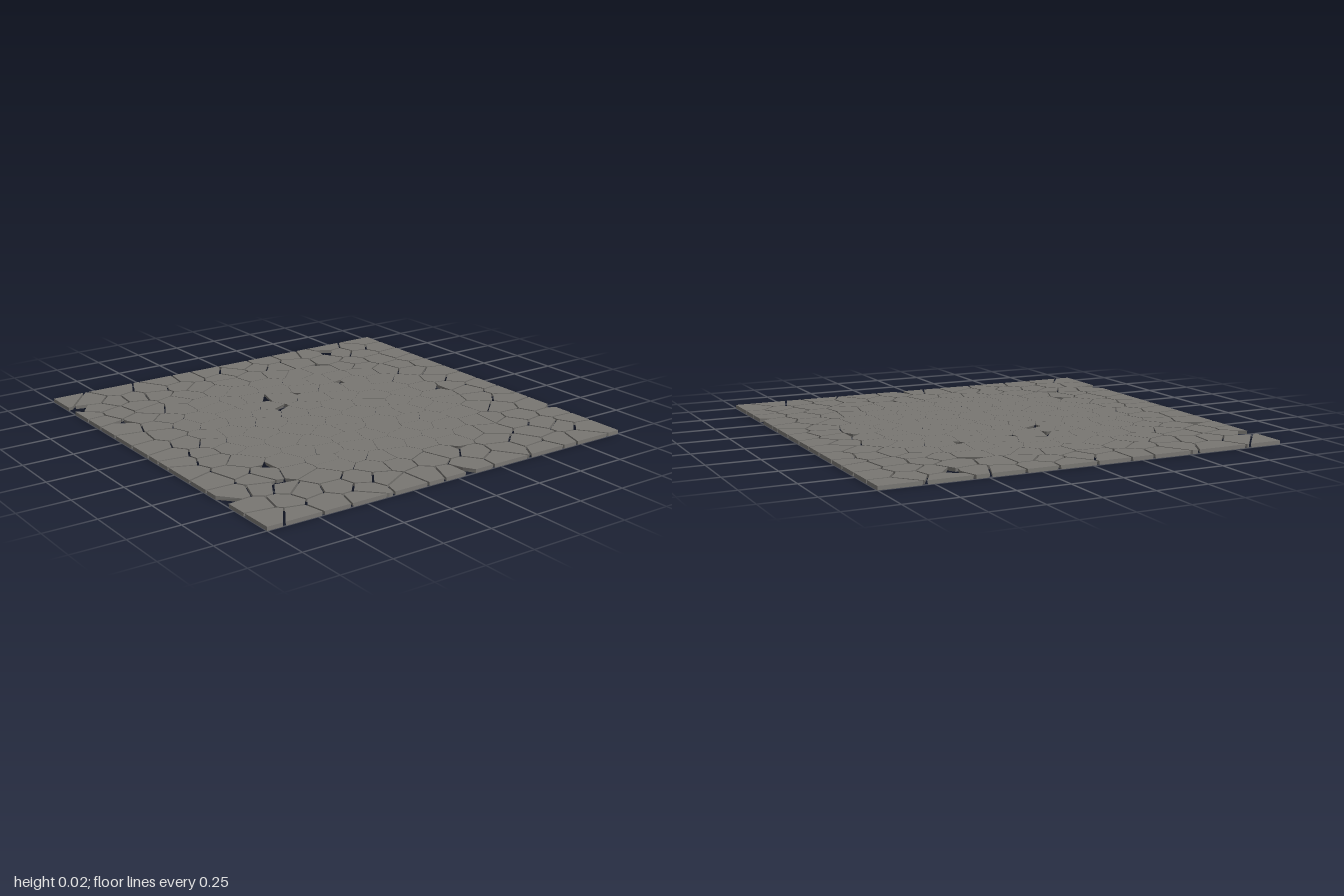
import * as THREE from 'three';

const COLS = 14, ROWS = 15;
const HEIGHT = 0.018;

// Missing chips between stones: x, z, radius
const CHIPS = [
  [-0.89, -0.62, 0.035], [-0.35, -0.06, 0.012], [-0.36, 0.12, 0.018], [-0.2, 0.15, 0.018],
  [-0.01, -0.73, 0.018], [0.96, -0.06, 0.015], [0.74, -0.22, 0.015], [0.43, 0.63, 0.02],
  [0.62, 0.7, 0.018], [0.96, 0.8, 0.025], [-0.46, 0.87, 0.014], [-0.78, 0.94, 0.014],
  [0.55, -0.98, 0.016], [0.66, 0.97, 0.016], [-0.7, -0.44, 0.012], [-0.38, -0.36, 0.012],
];

function seeded(seed) {
  return () => (seed = (seed * 16807) % 2147483647) / 2147483647;
}

// Keeps the part of a polygon where nx*x + nz*z <= d
function clip(poly, nx, nz, d) {
  const out = [];
  poly.forEach((a, i) => {
    const b = poly[(i + 1) % poly.length];
    const da = nx * a[0] + nz * a[1] - d;
    const db = nx * b[0] + nz * b[1] - d;
    if (da <= 0) out.push(a);
    if (da * db < 0) {
      const t = da / (da - db);
      out.push([a[0] + (b[0] - a[0]) * t, a[1] + (b[1] - a[1]) * t]);
    }
  });
  return out;
}

// Jittered, staggered stone centres, pushed away from the chips
function makeSites() {
  const rnd = seeded(4711), sites = [];
  for (let r = 0; r < ROWS; r++) {
    for (let c = 0; c < COLS; c++) {
      const s = [
        -1 + (2 / COLS) * (c + 0.5 + (r % 2 ? 0.23 : -0.23) + (rnd() - 0.5) * 0.65),
        -1 + (2 / ROWS) * (r + 0.5 + (rnd() - 0.5) * 0.65),
      ];
      for (const [x, z] of CHIPS) {
        const dx = s[0] - x, dz = s[1] - z, d = Math.hypot(dx, dz);
        if (d < 0.08) {
          s[0] = x + (dx / d) * 0.08;
          s[1] = z + (dz / d) * 0.08;
        }
      }
      sites.push(s.map((v) => THREE.MathUtils.clamp(v, -0.96, 0.96)));
    }
  }
  return sites;
}

// Outline of one stone: nearest-centre cell less its joints and chips
function outline(site, sites, joint) {
  let poly = [[-1, -1], [-1, 1], [1, 1], [1, -1]];
  for (const other of sites) {
    const dx = other[0] - site[0], dz = other[1] - site[1], d = Math.hypot(dx, dz);
    if (d < 1e-6 || d > 0.6) continue;
    const nx = dx / d, nz = dz / d;
    poly = clip(poly, nx, nz, nx * site[0] + nz * site[1] + d / 2 - joint);
  }
  for (const [x, z, radius] of CHIPS) {
    const dx = x - site[0], dz = z - site[1], d = Math.hypot(dx, dz);
    if (d < 0.05 || d > 0.25) continue;
    const nx = dx / d, nz = dz / d;
    poly = clip(poly, nx, nz, nx * x + nz * z - radius);
  }
  return poly;
}

// Moves a corner inwards for the tapered foot, keeping the outer border straight
function inset(p, site, amount) {
  const dx = site[0] - p[0], dz = site[1] - p[1], d = Math.hypot(dx, dz) || 1;
  return [
    Math.abs(p[0]) > 0.9999 ? p[0] : p[0] + (dx / d) * amount,
    Math.abs(p[1]) > 0.9999 ? p[1] : p[1] + (dz / d) * amount,
  ];
}

// Side walls between a lower and an upper outline
function band(out, low, high) {
  low.forEach((a, i) => {
    const j = (i + 1) % low.length, b = low[j], c = high[j], d = high[i];
    out.push(a[0], 0, a[1], b[0], 0, b[1], c[0], HEIGHT, c[1]);
    out.push(a[0], 0, a[1], c[0], HEIGHT, c[1], d[0], HEIGHT, d[1]);
  });
}

function cap(out, poly, y, up) {
  for (let i = 1; i < poly.length - 1; i++) {
    const tri = up ? [0, i, i + 1] : [0, i + 1, i];
    for (const k of tri) out.push(poly[k][0], y, poly[k][1]);
  }
}

export function createModel() {
  const stone = new THREE.MeshStandardMaterial({ color: 0x787672 });
  stone.name = 'stone grey';

  const sites = makeSites();
  const faces = [];
  for (const site of sites) {
    // Joints are open near the border and tight at the top in the middle
    const reach = Math.max(Math.abs(site[0]), Math.abs(site[1]), Math.hypot(...site) * 0.9);
    const open = THREE.MathUtils.smoothstep(reach, 0.6, 0.85);
    const top = outline(site, sites, 0.0006 + 0.0044 * open);
    if (top.length < 3) continue;
    const base = top.map((p) => inset(p, site, 0.008 - 0.005 * open));
    cap(faces, base, 0, false);
    band(faces, base, top);
    cap(faces, top, HEIGHT, true);
  }

  const geometry = new THREE.BufferGeometry();
  geometry.setAttribute('position', new THREE.Float32BufferAttribute(faces, 3));
  geometry.computeVertexNormals();
  const stones = new THREE.Mesh(geometry, stone);
  stones.name = 'pavingStones';

  const group = new THREE.Group();
  group.name = 'stonePaving';
  group.add(stones);
  return group;
}
